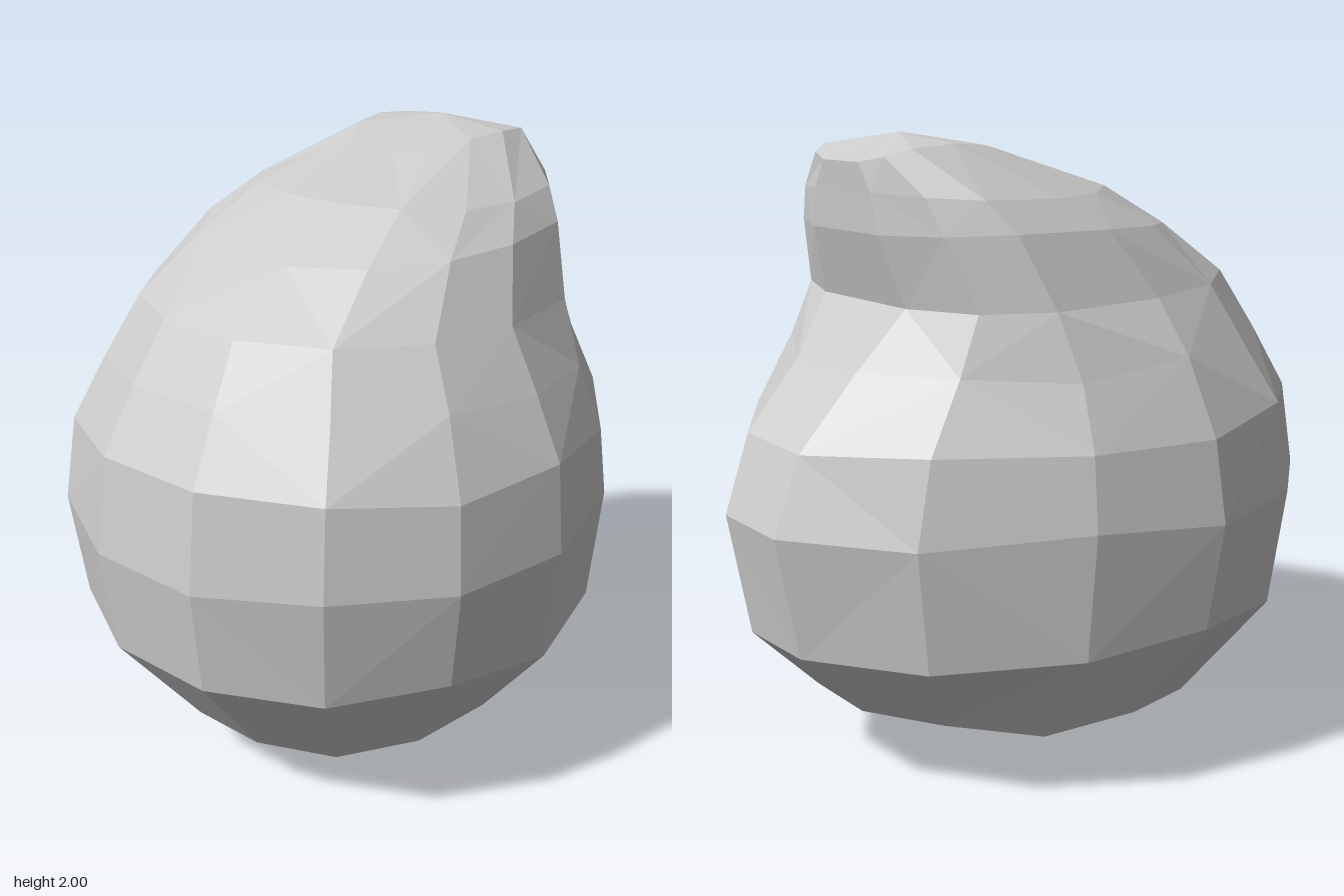
import * as THREE from 'three';

const SIDES = 14;

// Cross-sections from base to crown:
// front y, back y, front z, widest z, back z, right x, left x, side lift, back squareness
const RINGS = [
  [0.03, 0.05, 0.36, 0.07, -0.23, -0.20, 0.27, -0.01, 1],
  [0.18, 0.26, 0.66, 0.05, -0.68, -0.58, 0.57, -0.03, 1],
  [0.54, 0.49, 0.93, 0.10, -0.90, -0.83, 0.82, 0.02, 1.15],
  [0.88, 0.88, 0.97, 0.12, -0.97, -0.87, 0.87, 0.02, 1.2],
  [1.18, 1.12, 0.93, 0.11, -0.88, -0.83, 0.84, 0, 1.15],
  [1.37, 1.33, 0.82, 0.09, -0.69, -0.73, 0.74, 0, 1],
  [1.55, 1.51, 0.71, 0.07, -0.55, -0.62, 0.63, 0, 0.7],
  [1.70, 1.72, 0.47, -0.05, -0.61, -0.53, 0.54, 0.02, 0.75],
  [1.84, 1.84, 0.24, -0.17, -0.615, -0.45, 0.46, -0.02, 0.75],
  [1.925, 1.92, -0.09, -0.40, -0.62, -0.25, 0.25, 0.05, 0.65],
];

function ringPoint([yf, yb, zf, zc, zb, xr, xl, lift, square], row, k) {
  const a = ((k + 0.5) / SIDES) * Math.PI * 2;
  const s = Math.sin(a);
  // widen so that the flat front and back edges reach the full depth
  const c = Math.cos(a) / Math.cos(Math.PI / SIDES);
  const p = c < 0 ? square : 1;
  const wide = Math.abs(s) ** p;
  const deep = Math.abs(c) ** p;
  // slight unevenness of the facets on the body
  const wobble = row > 0 && row < 6 ? 0.02 * Math.sin(k * 2.4 + row * 1.7) * Math.abs(s) : 0;
  return [
    (s > 0 ? xl : xr) * wide,
    (yf + yb) / 2 + ((yf - yb) / 2) * Math.sign(c) * deep + lift * s * s + wobble,
    zc + ((c > 0 ? zf : zb) - zc) * deep,
  ];
}

function bodyGeometry() {
  const points = [];
  RINGS.forEach((ring, row) => {
    for (let k = 0; k < SIDES; k++) points.push(...ringPoint(ring, row, k));
  });
  const base = points.length / 3;
  points.push(0, 0, 0.06);
  const crown = base + 1;
  points.push(0, 2, -0.41);

  const faces = [];
  const at = (row, k) => row * SIDES + (k % SIDES);
  for (let k = 0; k < SIDES; k++) {
    faces.push(base, at(0, k + 1), at(0, k));
    for (let r = 0; r < RINGS.length - 1; r++) {
      const a = at(r, k), b = at(r, k + 1), c = at(r + 1, k + 1), d = at(r + 1, k);
      if ((r + k) % 2) faces.push(a, b, c, a, c, d);
      else faces.push(a, b, d, b, c, d);
    }
    faces.push(crown, at(RINGS.length - 1, k), at(RINGS.length - 1, k + 1));
  }
  const geometry = new THREE.BufferGeometry();
  geometry.setAttribute('position', new THREE.Float32BufferAttribute(points, 3));
  geometry.setIndex(faces);
  const flat = geometry.toNonIndexed();
  flat.computeVertexNormals();
  return flat;
}

export function createModel() {
  const group = new THREE.Group();
  group.name = 'boulder';
  // Faceted stone with an overhanging crown at the back
  const stone = new THREE.Mesh(
    bodyGeometry(),
    new THREE.MeshStandardMaterial({ color: 0xcccccc, flatShading: true }),
  );
  stone.name = 'stone';
  group.add(stone);
  return group;
}
